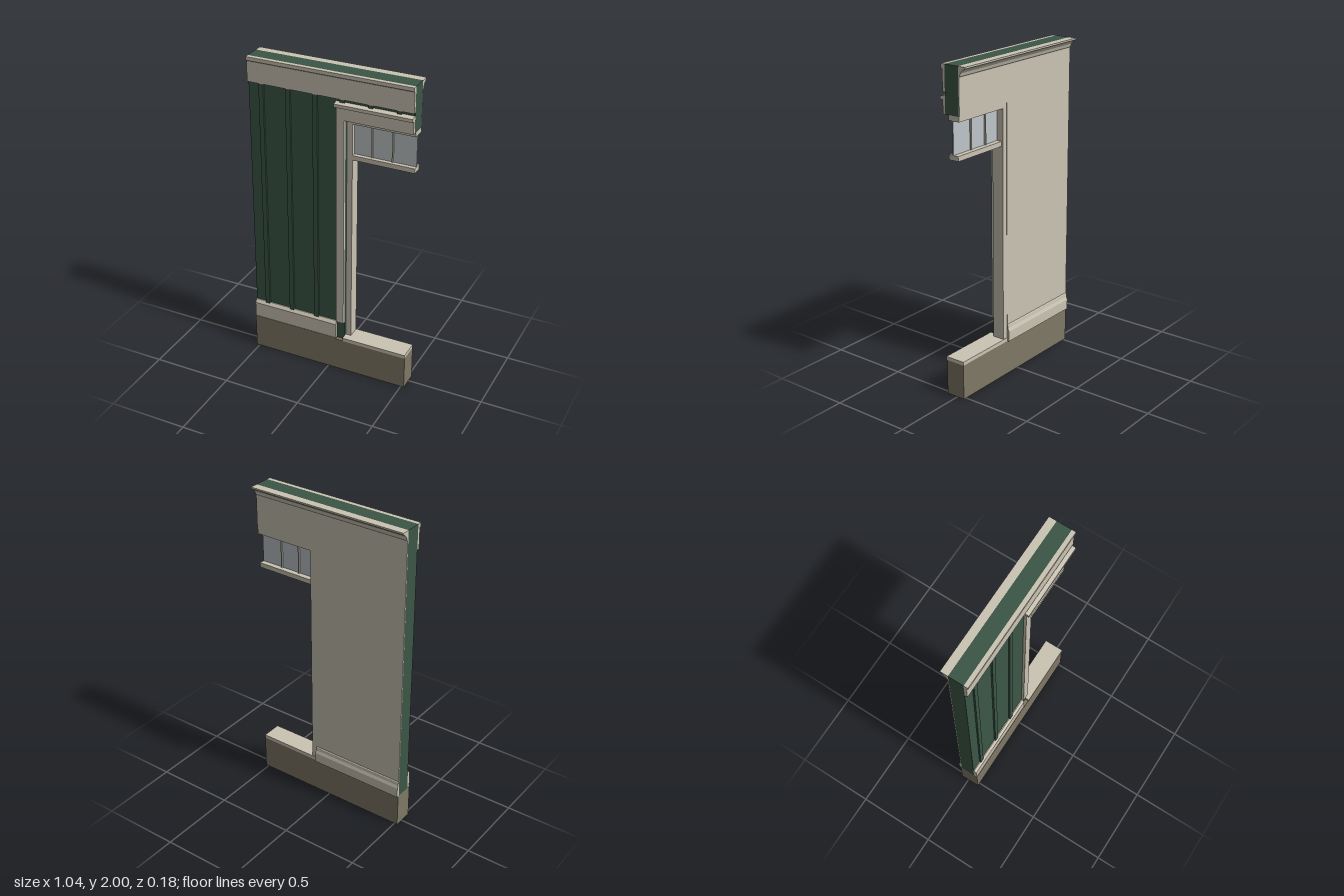
import * as THREE from 'three';

const mat = (name, color, side = THREE.FrontSide) => {
  const m = new THREE.MeshStandardMaterial({ color, side });
  m.name = name;
  return m;
};

export function createModel() {
  const group = new THREE.Group();
  group.name = 'wallSectionWithDoorway';
  const green = mat('green siding', 0x3b5646);
  const cream = mat('cream trim', 0xcbc4b4);
  const stone = mat('foundation stone', 0x7f7866);
  const glass = mat('window glass', 0xbec5c8);
  const L = -0.52, R = 0.52;   // wall ends
  const D = 0.1;               // edge of the door opening

  const add = (name, geometry, material) => {
    const mesh = new THREE.Mesh(geometry, material);
    mesh.name = name;
    group.add(mesh);
    return mesh;
  };
  // box given by its limits on each axis
  const box = (name, material, x0, x1, y0, y1, z0, z1) => {
    const g = new THREE.BoxGeometry(x1 - x0, y1 - y0, z1 - z0);
    g.translate((x0 + x1) / 2, (y0 + y1) / 2, (z0 + z1) / 2);
    return add(name, g, material);
  };
  // moulding: a [z, y] profile swept along x
  const moulding = (name, material, x0, x1, profile) => {
    const shape = new THREE.Shape(profile.map(([z, y]) => new THREE.Vector2(-z, y)));
    const g = new THREE.ExtrudeGeometry(shape, { depth: x1 - x0, bevelEnabled: false });
    g.rotateY(Math.PI / 2);
    g.translate(x0, 0, 0);
    return add(name, g, material);
  };
  // wall outline with the doorway cut away, extruded from z0 to z1
  const wall = (name, material, y0, z0, z1) => {
    const outline = [[L, y0], [D, y0], [D, 1.72], [R, 1.72], [R, 2], [L, 2]];
    const shape = new THREE.Shape(outline.map(([x, y]) => new THREE.Vector2(x, y)));
    const g = new THREE.ExtrudeGeometry(shape, { depth: z1 - z0, bevelEnabled: false });
    g.translate(0, 0, z0);
    return add(name, g, material);
  };

  // base
  box('foundation', stone, L, R, 0, 0.22, -0.05, 0.075);
  box('doorSill', cream, D, R, 0.22, 0.243, -0.05, 0.079);

  // wall core and interior lining
  wall('wallCore', green, 0.22, -0.043, 0.052);
  wall('interiorLining', cream, 0.22, -0.049, -0.043);

  // vertical battens
  for (let i = 0; i < 6; i++) {
    const x = -0.435 + i * 0.173;
    box('batten', green, x - 0.015, x + 0.015, i < 3 ? 0.34 : 1.82, 1.85, 0.052, 0.063);
  }

  // exterior frieze and skirt
  moulding('frieze', cream, L, R, [
    [0.052, 1.845], [0.069, 1.845], [0.069, 1.972], [0.078, 1.978], [0.078, 2], [0.052, 2]]);
  moulding('skirtBoard', cream, L, 0.05, [
    [0.052, 0.228], [0.073, 0.228], [0.073, 0.325], [0.058, 0.345], [0.052, 0.345]]);
  box('foundationTop', stone, L, 0.05, 0.22, 0.228, 0.052, 0.075);

  // door casing
  box('sideCasing', cream, 0.05, D, 0.345, 1.72, 0.052, 0.069);
  box('headCasing', cream, 0.05, R, 1.72, 1.8, 0.052, 0.069);
  moulding('headCap', cream, 0.042, R, [
    [0.052, 1.8], [0.088, 1.8], [0.088, 1.82], [0.052, 1.826]]);

  // door frame
  box('sideJamb', cream, D, 0.135, 0.243, 1.72, -0.046, 0.03);
  box('headJamb', cream, 0.135, R, 1.69, 1.72, -0.046, 0.03);
  box('transomBar', cream, 0.135, R, 1.465, 1.495, -0.036, 0.03);

  // transom window
  box('transomGlass', glass, 0.135, R, 1.495, 1.69, -0.003, 0.004);
  for (const x of [0.248, 0.375]) {
    box('muntin', cream, x - 0.004, x + 0.004, 1.495, 1.69, -0.012, 0.012);
  }

  // interior mouldings
  moulding('crownMoulding', cream, L, R, [
    [-0.049, 1.94], [-0.054, 1.945], [-0.06, 1.962], [-0.07, 1.975],
    [-0.084, 1.985], [-0.092, 1.99], [-0.092, 2], [-0.049, 2]]);
  moulding('baseboard', cream, L, D, [
    [-0.049, 0.22], [-0.062, 0.22], [-0.062, 0.285], [-0.055, 0.305], [-0.053, 0.325], [-0.049, 0.33]]);

  return group;
}
